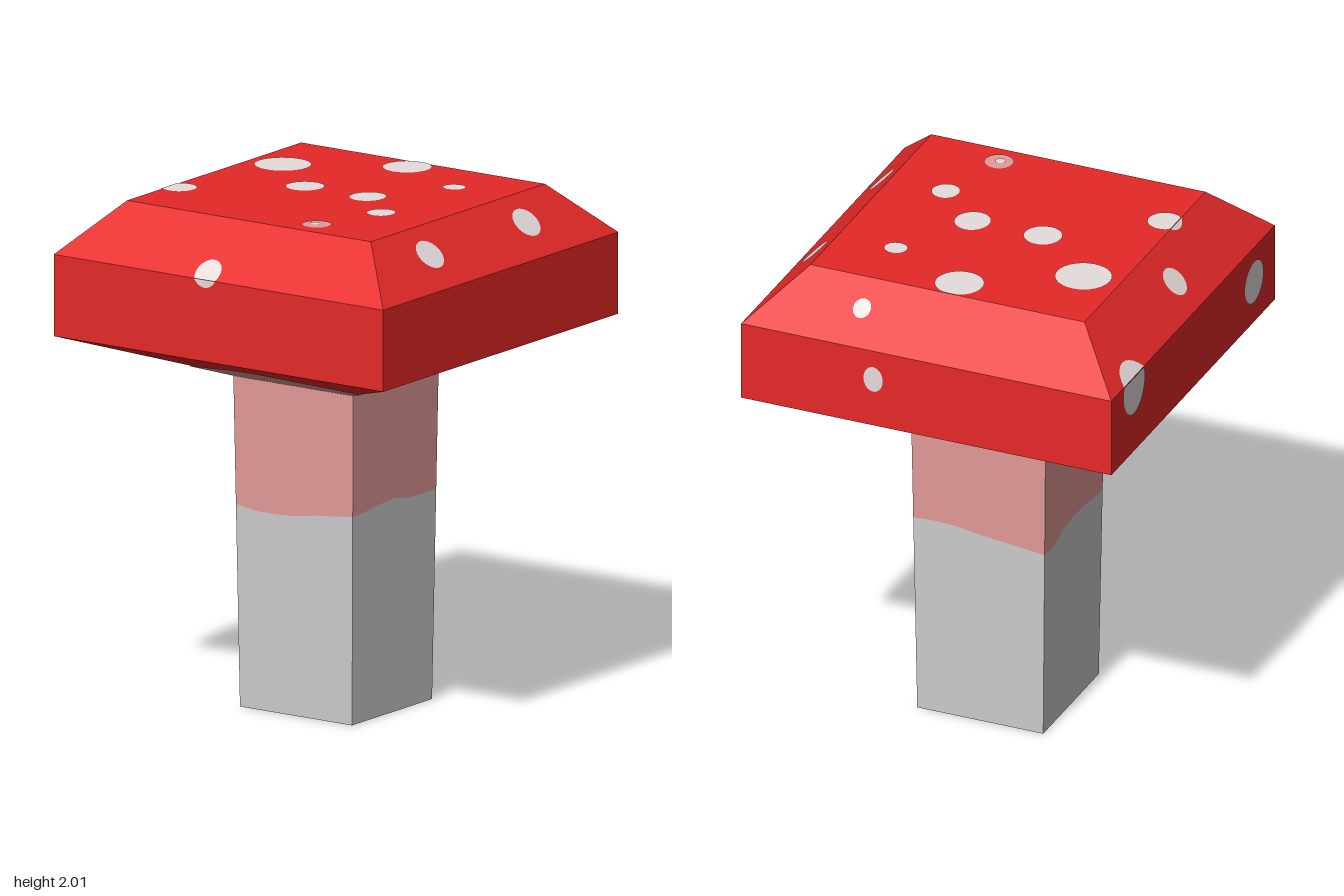
import * as THREE from 'three';

const mat = (name, color) =>
  new THREE.MeshStandardMaterial({ name, color, side: THREE.DoubleSide, flatShading: true });

// Cap outline from the top centre outward and down: [outward, y]
const CAP = [[0, 2], [0.57, 2], [0.77, 1.8], [0.77, 1.48], [0.28, 1.3]];
const LIFT = 0.003;

function meshFrom(name, positions, material) {
  const g = new THREE.BufferGeometry();
  g.setAttribute('position', new THREE.Float32BufferAttribute(positions, 3));
  g.computeVertexNormals();
  const m = new THREE.Mesh(g, material);
  m.name = name;
  return m;
}

// Elliptical spot wrapped over the cap's folds: t runs sideways, u along the outline
function makeSpot([angle, t, u, rt, ru], material, lift = LIFT) {
  const pos = [], n = 28;
  let start = 0;
  for (let k = 0; k < 3; k++) {
    const [o0, y0] = CAP[k], [o1, y1] = CAP[k + 1];
    const len = Math.hypot(o1 - o0, y1 - y0);
    const lo = k === 0 ? -len : start, hi = start + len;
    if (u + ru > lo && u - ru < hi) {
      const dx = (o1 - o0) / len, dy = (y1 - y0) / len;
      const at = (a, b) => {
        const s = THREE.MathUtils.clamp(b, lo, hi) - start;
        return [a, y0 + dy * s + dx * lift, o0 + dx * s - dy * lift];
      };
      const rim = (i) => {
        const a = (i / n) * Math.PI * 2;
        return at(t + rt * Math.cos(a), u + ru * Math.sin(a));
      };
      for (let i = 0; i < n; i++) pos.push(...at(t, u), ...rim(i + 1), ...rim(i));
    }
    start = hi;
  }
  const spot = meshFrom('spot', pos, material);
  spot.rotation.y = angle;
  return spot;
}

// Strip of quads between two closed rings of points
function band(name, lower, upper, material) {
  const pos = [];
  lower.forEach((a, i) => {
    const j = (i + 1) % lower.length;
    pos.push(...a, ...lower[j], ...upper[j], ...a, ...upper[j], ...upper[i]);
  });
  return meshFrom(name, pos, material);
}

export function createModel() {
  const model = new THREE.Group();
  model.name = 'mushroom';
  const red = mat('capRed', 0xe62828);
  const pale = mat('spotWhite', 0xe6dcdc);
  const grey = mat('stemGrey', 0xcccccc);
  const pink = mat('blendPink', 0xe29a98);

  // Square cap, open where the stem joins
  const outline = CAP.map(([o, y]) => new THREE.Vector2(o * Math.SQRT2, y)).reverse();
  const capGeo = new THREE.LatheGeometry(outline, 4, Math.PI / 4).toNonIndexed();
  capGeo.computeVertexNormals();
  const cap = new THREE.Mesh(capGeo, red);
  cap.name = 'cap';
  model.add(cap);

  // Spots: [side angle, t, u, radius t, radius u]
  const F = 0, R = Math.PI / 2, B = Math.PI, L = -Math.PI / 2;
  const spots = new THREE.Group();
  spots.name = 'spots';
  [
    // top
    [F, -0.01, -0.48, 0.095, 0.095], [F, -0.42, -0.24, 0.11, 0.108],
    [F, 0.325, -0.32, 0.046, 0.043], [F, -0.147, -0.003, 0.075, 0.075],
    [F, 0.145, -0.005, 0.07, 0.075], [F, 0.335, 0.173, 0.055, 0.057],
    [L, 0.29, 0.525, 0.068, 0.068],
    // slopes and folds
    [F, -0.063, 0.822, 0.056, 0.061], [R, 0.32, 0.697, 0.068, 0.064],
    [R, -0.312, 0.697, 0.068, 0.064], [B, -0.315, 0.697, 0.036, 0.04],
    [L, 0.04, 0.718, 0.06, 0.06], [L, -0.56, 0.895, 0.1, 0.113],
    // walls
    [L, 0.57, 0.998, 0.088, 0.088], [B, -0.22, 0.973, 0.04, 0.053],
  ].forEach((s) => spots.add(makeSpot(s, pale)));
  spots.add(makeSpot([F, 0.245, 0.47, 0.057, 0.057], pink));
  spots.add(makeSpot([F, 0.24, 0.472, 0.02, 0.02], pale, LIFT * 2));
  model.add(spots);

  // Pink round patch under the cap, hugging its sloped faces
  const inner = [], outer = [], n = 48;
  for (let i = 0; i < n; i++) {
    const a = (i / n) * Math.PI * 2;
    const sx = Math.sin(a), cz = Math.cos(a);
    const m = Math.max(Math.abs(sx), Math.abs(cz));
    const point = (r) => [r * sx, 1.3 + ((r * m - 0.28) * 0.18) / 0.49 - LIFT, r * cz];
    inner.push(point(0.28 / m));
    outer.push(point(0.565 + 0.015 * Math.sin(3 * a + 1) + 0.012 * Math.cos(8 * a)));
  }
  model.add(band('underCapPatch', inner, outer, pink));

  // Hollow stem, slightly wider at the top, with an uneven colour line
  const line = [
    0.795, 0.78, 0.78, 0.785, 0.8, 0.81, // front
    0.82, 0.825, 0.835, 0.84, 0.825, 0.82, // right
    0.825, 0.83, 0.825, 0.81, 0.8, 0.79, // back
    0.78, 0.775, 0.805, 0.815, 0.81, 0.8, // left
  ];
  const ring = (heightAt) => line.map((_, i) => {
    const f = (i % 6) / 3 - 1, y = heightAt(i), w = 0.262 + (0.018 * y) / 1.3;
    const [x, z] = [[f, 1], [1, -f], [-f, -1], [-1, f]][Math.floor(i / 6)];
    return [x * w, y, z * w];
  });
  const middle = ring((i) => line[i]);
  model.add(band('lowerStem', ring(() => 0), middle, grey));
  model.add(band('upperStem', middle, ring(() => 1.3), pink));

  return model;
}
